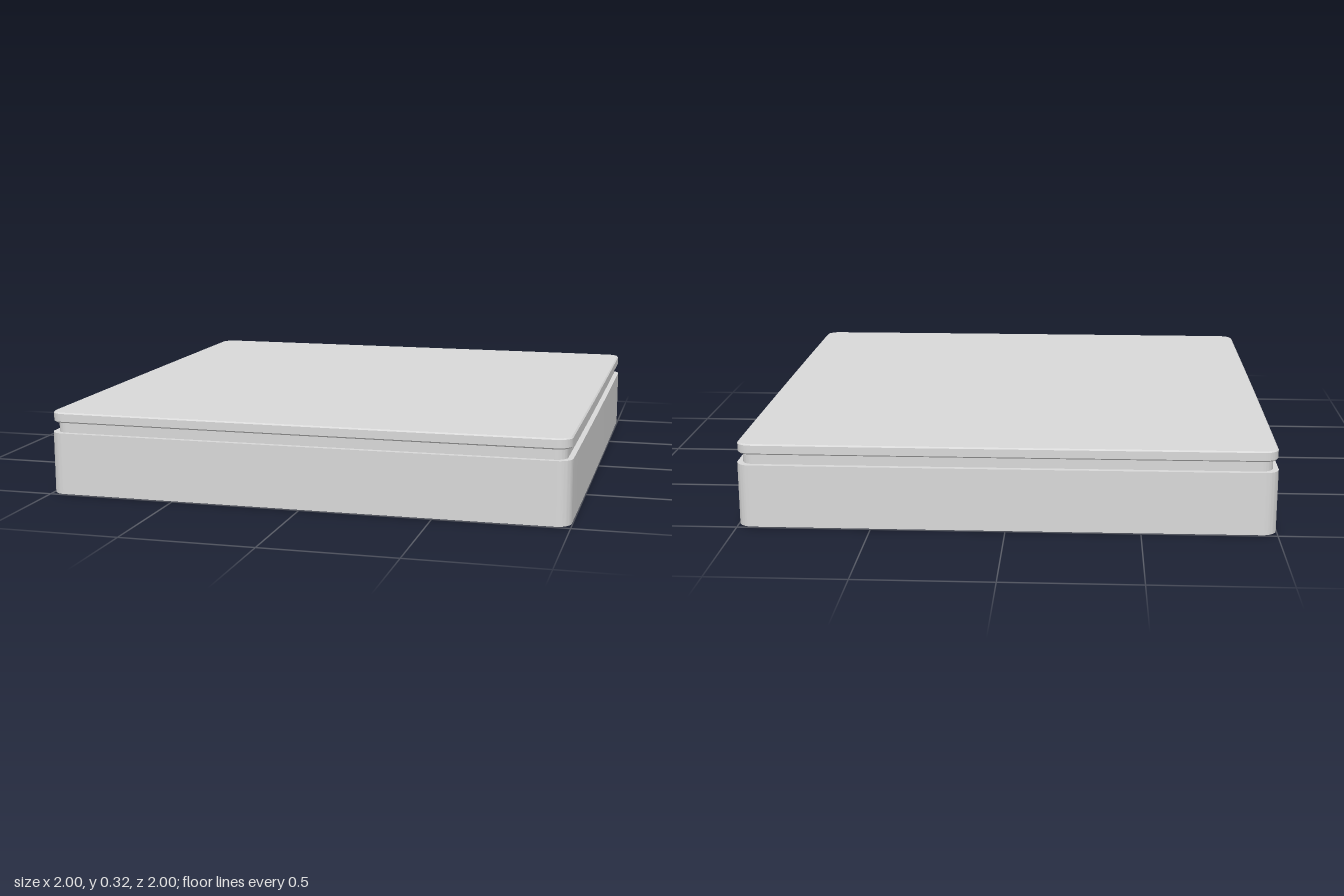
import * as THREE from 'three';
import { toCreasedNormals } from 'three/addons/utils/BufferGeometryUtils.js';

// Rounded square whose sides bow outward very slightly.
function outline(half, radius) {
  const bow = 0.002;
  const e = half - bow, s = e - radius, c = half + bow;
  const shape = new THREE.Shape();
  shape.moveTo(-s, -e);
  shape.quadraticCurveTo(0, -c, s, -e);
  shape.absarc(s, -s, radius, -Math.PI / 2, 0);
  shape.quadraticCurveTo(c, 0, e, s);
  shape.absarc(s, s, radius, 0, Math.PI / 2);
  shape.quadraticCurveTo(0, c, -s, e);
  shape.absarc(-s, s, radius, Math.PI / 2, Math.PI);
  shape.quadraticCurveTo(-c, 0, -e, -s);
  shape.absarc(-s, -s, radius, Math.PI, Math.PI * 1.5);
  return shape;
}

// Upright slab from y0 to y1, with an optional chamfered rim.
function slab(name, material, half, radius, y0, y1, bevel = 0) {
  const geometry = new THREE.ExtrudeGeometry(outline(half, radius), {
    depth: y1 - y0 - 2 * bevel,
    curveSegments: 10,
    bevelEnabled: bevel > 0,
    bevelThickness: bevel,
    bevelSize: bevel,
    bevelOffset: -bevel,
    bevelSegments: 1,
  });
  geometry.rotateX(-Math.PI / 2);
  geometry.translate(0, y0 + bevel, 0);
  const mesh = new THREE.Mesh(toCreasedNormals(geometry, 0.5), material);
  mesh.name = name;
  return mesh;
}

// Thin face looking straight down.
function underside(name, material, half, radius, y) {
  const geometry = new THREE.ShapeGeometry(outline(half, radius), 10);
  geometry.rotateX(Math.PI / 2);
  geometry.translate(0, y, 0);
  const mesh = new THREE.Mesh(geometry, material);
  mesh.name = name;
  return mesh;
}

export function createModel() {
  const group = new THREE.Group();
  group.name = 'lowBox';
  const grey = new THREE.MeshStandardMaterial({ color: 0xd9d9d9 });
  grey.name = 'light grey';
  const dark = new THREE.MeshStandardMaterial({ color: 0x46463e });
  dark.name = 'dark grey';

  group.add(
    slab('body', grey, 1, 0.055, 0.002, 0.24),
    underside('bodyUnderside', dark, 1, 0.055, 0),
    slab('neck', grey, 0.98, 0.045, 0.24, 0.28), // recessed groove
    slab('lid', grey, 0.997, 0.055, 0.28, 0.32, 0.005),
    underside('lidUnderside', dark, 0.992, 0.05, 0.278),
  );
  return group;
}
